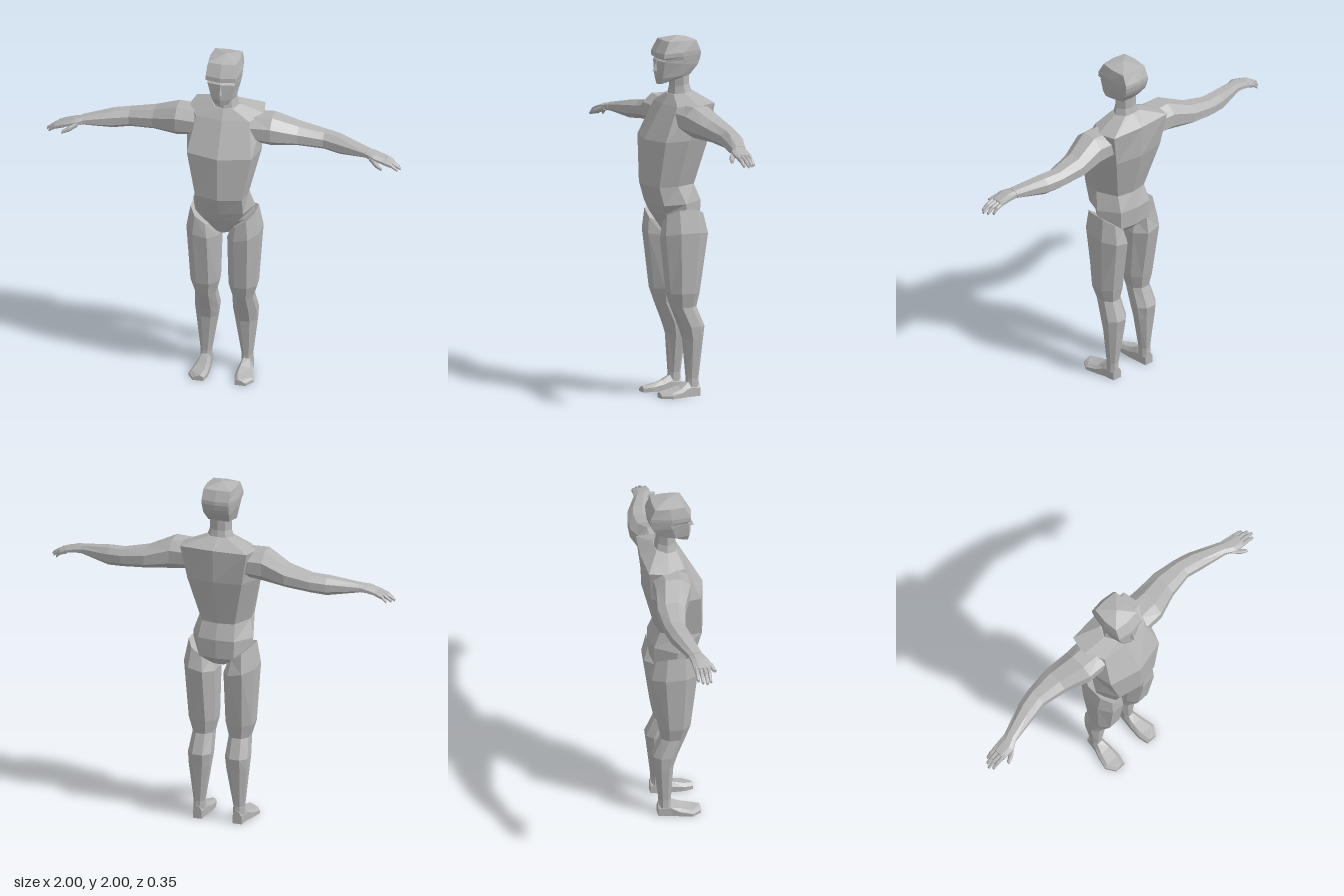
import * as THREE from 'three';

const V = (x, y, z) => new THREE.Vector3(x, y, z);

// Skin a list of equal-length point rings, closing both ends, faces outward.
function loft(rings, tip) {
  const n = rings[0].length, verts = rings.flat(), tris = [];
  for (let r = 0; r < rings.length - 1; r++) {
    for (let i = 0; i < n; i++) {
      const j = (i + 1) % n, a = r * n + i, b = r * n + j;
      tris.push([a, b, b + n], [a, b + n, a + n]);
    }
  }
  const centre = ring => ring.reduce((s, p) => s.add(p), V(0, 0, 0)).divideScalar(n);
  const first = verts.length, last = first + 1, off = (rings.length - 1) * n;
  const all = [...verts, centre(rings[0]), tip || centre(rings[rings.length - 1])];
  for (let i = 0; i < n; i++) {
    const j = (i + 1) % n;
    tris.push([first, j, i], [last, off + i, off + j]);
  }
  const mid = centre(rings[0]);
  let volume = 0;
  for (const [a, b, c] of tris) {
    const p = all[a].clone().sub(mid), q = all[b].clone().sub(mid), s = all[c].clone().sub(mid);
    volume += p.dot(q.cross(s));
  }
  const out = [];
  for (const t of tris) {
    const order = volume < 0 ? [t[0], t[2], t[1]] : t;
    for (const k of order) out.push(all[k].x, all[k].y, all[k].z);
  }
  const geo = new THREE.BufferGeometry();
  geo.setAttribute('position', new THREE.Float32BufferAttribute(out, 3));
  geo.computeVertexNormals();
  return geo;
}

// Symmetric body ring: front height, back height, half width, front z, back z,
// front corner ratio, back corner ratio, how far the corners sit in from front and back
function bodyRing([yf, yb, w, zf, zb, kf, kb, drop]) {
  const half = [[0, zf], [w * kf, zf - drop], [w, (zf + zb) / 2], [w * kb, zb + drop * 0.6], [0, zb]];
  const pts = [...half, ...half.slice(1, 4).reverse().map(([x, z]) => [-x, z])];
  return pts.map(([x, z]) => V(x, yb + (yf - yb) * (z - zb) / (zf - zb), z));
}

// Eight-sided outline filling the rectangle u0..u1 by v0..v1
function octagon(u0, u1, v0, v1, k = 0.45) {
  const cu = (u0 + u1) / 2, cv = (v0 + v1) / 2, hu = (u1 - u0) / 2, hv = (v1 - v0) / 2;
  return [[1, k], [k, 1], [-k, 1], [-1, k], [-1, -k], [-k, -1], [k, -1], [1, -k]]
    .map(([a, b]) => [cu + a * hu, cv + b * hv]);
}

export function createModel() {
  const model = new THREE.Group();
  const grey = new THREE.MeshStandardMaterial({ color: 0xb4b4b4 });
  grey.name = 'grey';
  grey.flatShading = true;
  const add = (parent, name, geo) => {
    const mesh = new THREE.Mesh(geo, grey);
    mesh.name = name;
    parent.add(mesh);
  };

  // Torso from crotch to neck base
  add(model, 'torso', loft([
    [0.91, 0.93, 0.045, 0.06, -0.08, 0.7, 0.7, 0.01],
    [1.02, 0.98, 0.17, 0.115, -0.125, 0.6, 0.6, 0.015],
    [1.07, 1.09, 0.175, 0.135, -0.13, 0.75, 0.6, 0.02],
    [1.175, 1.18, 0.147, 0.175, -0.1, 0.9, 0.65, 0.03],
    [1.43, 1.45, 0.212, 0.175, -0.17, 0.86, 0.75, 0.045],
    [1.62, 1.64, 0.215, 0.065, -0.175, 0.7, 0.9, 0.02],
    [1.675, 1.695, 0.08, 0.03, -0.1, 0.65, 0.65, 0.01],
  ].map(bodyRing)));

  add(model, 'neck', loft([
    [1.65, 1.67, 0.085, 0.03, -0.105, 0.6, 0.6, 0.015],
    [1.72, 1.73, 0.064, 0.02, -0.09, 0.6, 0.6, 0.015],
    [1.81, 1.82, 0.064, 0.02, -0.09, 0.6, 0.6, 0.015],
  ].map(bodyRing)));

  // Head with a shallow recess below the brow
  add(model, 'head', loft([
    [1.735, 1.765, 0.05, 0.1, 0.0, 0.8, 0.8, 0.015],
    [1.77, 1.785, 0.076, 0.108, -0.085, 0.7, 0.8, 0.02],
    [1.865, 1.84, 0.093, 0.1, -0.125, 0.82, 0.8, 0.015],
    [1.875, 1.87, 0.095, 0.088, -0.137, 0.85, 0.8, 0.015],
    [1.885, 1.9, 0.099, 0.11, -0.142, 0.85, 0.8, 0.015],
    [1.91, 1.92, 0.1, 0.108, -0.14, 0.85, 0.8, 0.015],
    [1.977, 1.977, 0.086, 0.068, -0.112, 0.9, 0.9, 0.01],
  ].map(bodyRing), V(0, 2, -0.02)));

  add(model, 'nose', loft([
    [V(-0.016, 1.81, 0.09), V(0.016, 1.81, 0.09), V(0, 1.805, 0.126)],
    [V(-0.008, 1.865, 0.08), V(0.008, 1.865, 0.08), V(0, 1.865, 0.1)],
  ]));

  for (const s of [1, -1]) {
    const side = s > 0 ? 'left' : 'right';

    // Leg rings: height, slant, inner x, outer x, front z, back z
    const leg = new THREE.Group();
    leg.name = side + 'Leg';
    add(leg, side + 'LegLimb', loft([
      [1.0, 0.05, 0.05, 0.182, 0.105, -0.115],
      [0.9, 0.02, 0.026, 0.205, 0.116, -0.14],
      [0.58, 0, 0.03, 0.185, 0.08, -0.095],
      [0.5, 0, 0.048, 0.163, 0.055, -0.08],
      [0.39, 0, 0.042, 0.174, 0.008, -0.127],
      [0.32, 0, 0.05, 0.17, -0.015, -0.118],
      [0.1, 0, 0.086, 0.146, -0.028, -0.094],
      [0.05, 0, 0.086, 0.148, -0.025, -0.097],
    ].map(([y, slant, x0, x1, zf, zb]) => octagon(x0, x1, zb, zf)
      .map(([x, z]) => V(s * x, y + slant * (2 * (x - x0) / (x1 - x0) - 1), z)))));

    // Foot rings: z, inner x, outer x, inner top, outer top
    add(leg, side + 'Foot', loft([
      [-0.1, 0.09, 0.142, 0.075, 0.075],
      [-0.03, 0.083, 0.152, 0.085, 0.08],
      [0.02, 0.077, 0.168, 0.06, 0.045],
      [0.085, 0.076, 0.184, 0.042, 0.028],
      [0.137, 0.088, 0.15, 0.034, 0.024],
    ].map(([z, x0, x1, ti, to]) => [
      [x0, 0], [x1, 0], [x1, to * 0.6], [x1 - 0.018, to], [x0 + 0.018, ti], [x0, ti * 0.6],
    ].map(([x, y]) => V(s * x, y, z)))));
    model.add(leg);

    // Arm rings: x, bottom y, top y, back z, front z
    const arm = new THREE.Group();
    arm.name = side + 'Arm';
    const along = rings => loft(rings.map(([x, y0, y1, z0, z1]) =>
      octagon(y0, y1, z0, z1).map(([y, z]) => V(s * x, y, z))));
    add(arm, side + 'ArmLimb', along([
      [0.16, 1.48, 1.63, -0.14, 0.06],
      [0.27, 1.467, 1.636, -0.137, 0.055],
      [0.41, 1.46, 1.577, -0.155, 0.0],
      [0.55, 1.448, 1.547, -0.142, -0.028],
      [0.64, 1.437, 1.538, -0.122, -0.012],
      [0.81, 1.455, 1.503, -0.056, 0.02],
    ]));
    add(arm, side + 'Palm', along([
      [0.8, 1.456, 1.503, -0.055, 0.02],
      [0.85, 1.452, 1.492, -0.05, 0.045],
      [0.915, 1.442, 1.47, -0.045, 0.045],
    ]));

    // Four fingers, then the thumb
    [[-0.033, 0.965], [-0.011, 0.988], [0.012, 1.0], [0.033, 0.985]].forEach(([z, end], i) => {
      add(arm, side + 'Finger' + (i + 1), along([
        [0.9, 1.446, 1.472, z - 0.011, z + 0.011],
        [(0.9 + end) / 2 + 0.01, 1.43, 1.453, z - 0.01, z + 0.01],
        [end, 1.41, 1.426, z - 0.007, z + 0.007],
      ]));
    });
    add(arm, side + 'Thumb', along([
      [0.825, 1.455, 1.485, 0.005, 0.035],
      [0.865, 1.435, 1.465, 0.035, 0.066],
      [0.905, 1.425, 1.442, 0.06, 0.08],
    ]));
    model.add(arm);
  }
  return model;
}
